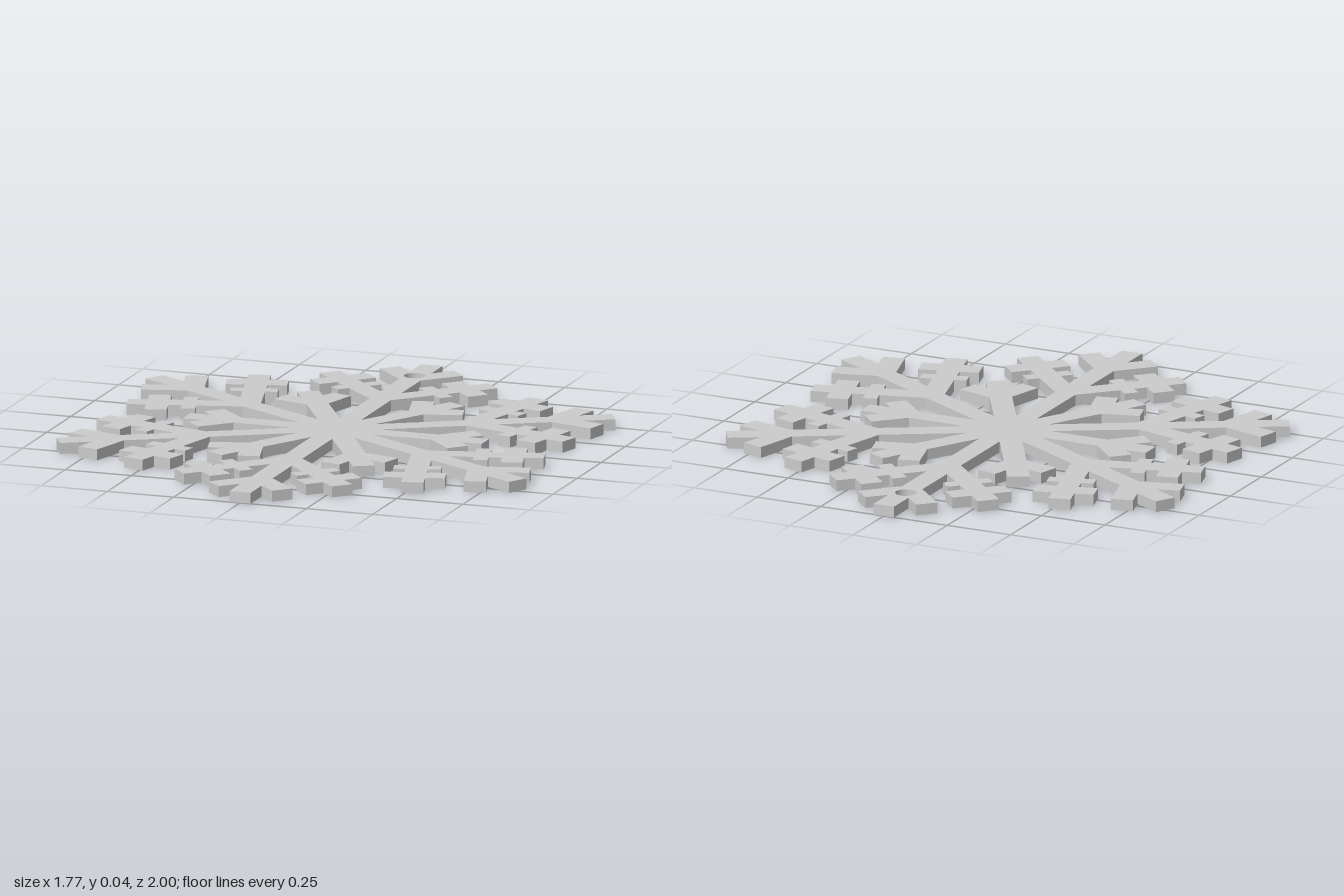
import * as THREE from 'three';

const HALF = 0.04;       // half width of every bar
const THICK = 0.04;
const D = Math.SQRT1_2;

// One 45 degree side branch leaving an arm at radius r0, as [along arm, across arm] points.
// Each twig is [start, end, reach] measured along and across the branch.
function branch(r0, length, twigs = []) {
  const edge = [];
  for (const [a, b, reach] of twigs) edge.push([a, HALF], [a, reach], [b, reach], [b, HALF]);
  edge.push([length, HALF]);
  const place = (u, v) => [r0 + (u + v) * D, (u - v) * D];
  const root = HALF / D;
  return [
    place(root - HALF, -HALF),
    ...edge.map(([u, v]) => place(u, -v)),
    ...edge.slice().reverse().map(([u, v]) => place(u, v)),
    place(root + HALF, HALF),
  ];
}

// Half outlines of the two kinds of arm, from the hub to the tip
const twigs = [[0.186, 0.238, 0.085], [0.285, 0.365, 0.11]];
const longArm = [...branch(0.477, 0.434, twigs), ...branch(0.7875, 0.182), [1, HALF]];
const shortArm = [...branch(0.388, 0.156), [0.563, HALF]];

export function createModel() {
  const group = new THREE.Group();
  group.name = 'snowflakeOrnament';

  // Twelve alternating arms joined into one outline, with a notch between neighbours
  const outline = [];
  const notch = HALF / Math.tan(Math.PI / 12);
  for (let i = 0; i < 12; i++) {
    const half = i % 2 ? longArm : shortArm;
    const arm = [
      [notch, -HALF],
      ...half.map(([r, w]) => [r, -w]),
      ...half.slice().reverse(),
    ];
    const angle = (i * Math.PI) / 6;
    for (const [r, w] of arm) {
      outline.push(new THREE.Vector2(r, w).rotateAround(new THREE.Vector2(), angle));
    }
  }
  const shape = new THREE.Shape(outline);

  // Hanging hole near the tip of the back arm
  const hole = new THREE.Path();
  hole.absarc(-0.005, 0.833, 0.038, 0, Math.PI * 2, true);
  shape.holes.push(hole);

  const geometry = new THREE.ExtrudeGeometry(shape, { depth: THICK, bevelEnabled: false, curveSegments: 32 });
  geometry.rotateX(-Math.PI / 2);
  const snowflake = new THREE.Mesh(geometry, new THREE.MeshStandardMaterial({ color: 0xcccccc, flatShading: true }));
  snowflake.name = 'snowflake';
  group.add(snowflake);
  return group;
}
